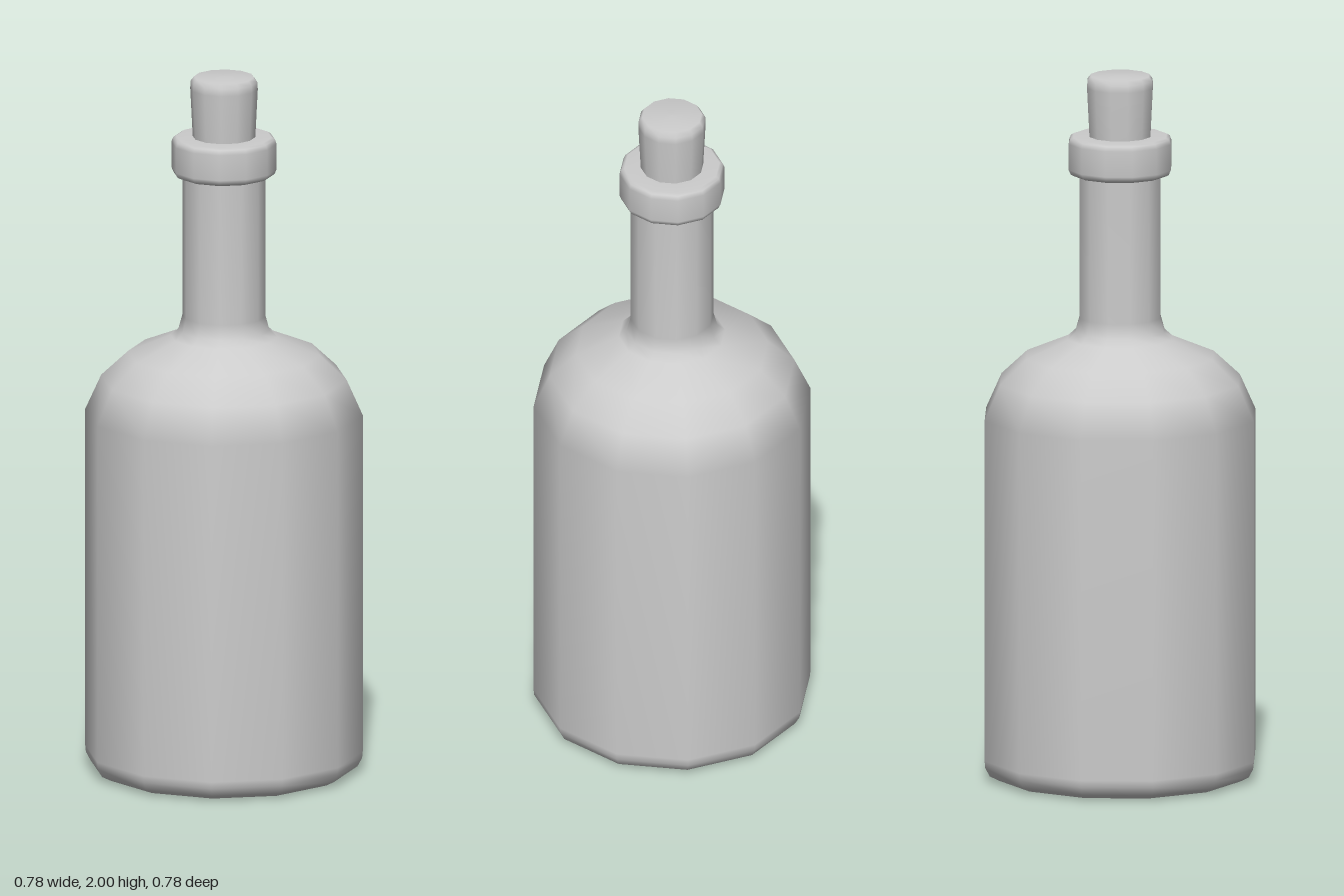
import * as THREE from 'three';

const SIDES = 12;

// Turns a [radius, height] profile, listed from bottom to top, around the y axis.
function turned(name, profile, material) {
  const points = profile.map(([r, y]) => new THREE.Vector2(r, y));
  const mesh = new THREE.Mesh(new THREE.LatheGeometry(points, SIDES), material);
  mesh.name = name;
  return mesh;
}

export function createModel() {
  const model = new THREE.Group();
  model.name = 'corkedBottle';
  const material = new THREE.MeshStandardMaterial({ color: 0xcccccc });

  // Body: flat base with a rounded rim, straight wall, domed shoulder, slim neck
  model.add(turned('bottleBody', [
    [0, 0], [0.335, 0], [0.35, 0.003], [0.375, 0.016], [0.388, 0.04], [0.39, 0.06],
    [0.39, 1.03], [0.345, 1.13], [0.27, 1.2], [0.15, 1.25],
    [0.128, 1.27], [0.117, 1.31], [0.117, 1.74],
  ], material));

  // Lip: bevelled collar around the mouth, closed in to the stopper
  model.add(turned('bottleLip', [
    [0.1, 1.716], [0.132, 1.716], [0.142, 1.721], [0.148, 1.735],
    [0.148, 1.808], [0.143, 1.821], [0.134, 1.826], [0.08, 1.826],
  ], material));

  // Stopper: tapers slightly into the neck, with a softened top edge
  model.add(turned('corkStopper', [
    [0, 1.74], [0.082, 1.74], [0.088, 1.826], [0.095, 1.965],
    [0.094, 1.985], [0.084, 1.998], [0, 2],
  ], material));

  return model;
}
